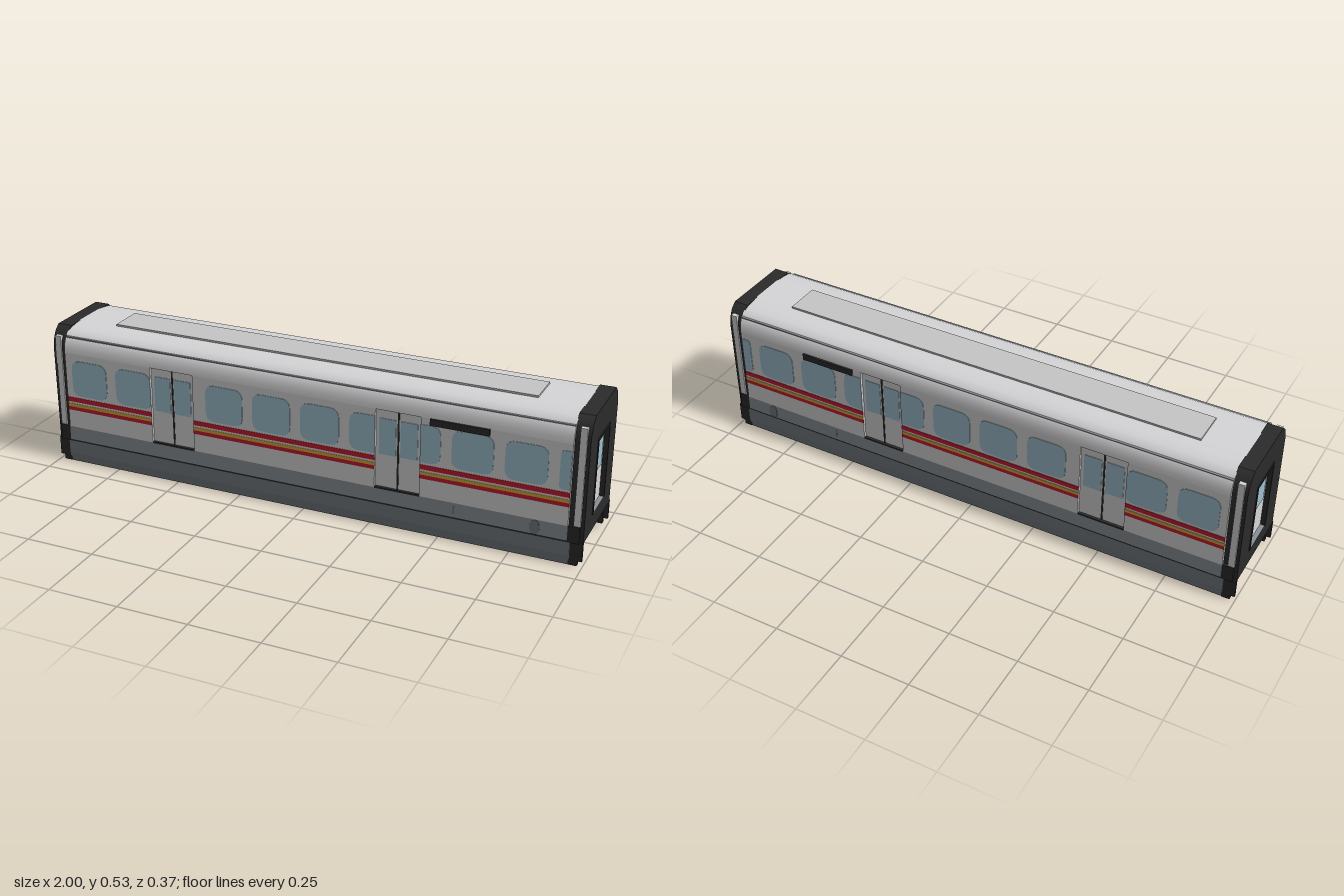
import * as THREE from 'three';
import { toCreasedNormals } from 'three/addons/utils/BufferGeometryUtils.js';

const mat = (name, color) => {
  const m = new THREE.MeshStandardMaterial({ color });
  m.name = name;
  return m;
};

export function createModel() {
  const root = new THREE.Group();
  root.name = 'railCar';
  const white = mat('bodyWhite', 0xd6d6d8);
  const roofGrey = mat('roofPanelGrey', 0xc6c6c7);
  const grey = mat('lowerBodyGrey', 0x8a9195);
  const dark = mat('skirtGrey', 0x727a7f);
  const black = mat('black', 0x2b2b2b);
  const glass = mat('windowBlue', 0x9fbfce);
  const red = mat('stripeRed', 0xc41c30);
  const gold = mat('stripeGold', 0xd4a83c);
  const blue = mat('equipmentBlue', 0x2f6fb0);

  const add = (name, geo, material) => {
    const m = new THREE.Mesh(geo, material);
    m.name = name;
    root.add(m);
    return m;
  };
  // Box given by its extents on each axis
  const box = (name, material, x0, x1, y0, y1, z0, z1) => {
    const g = new THREE.BoxGeometry(Math.abs(x1 - x0), y1 - y0, Math.abs(z1 - z0));
    g.translate((x0 + x1) / 2, (y0 + y1) / 2, (z0 + z1) / 2);
    return add(name, g, material);
  };
  // Shape in (z, y) extruded along x
  const alongX = (name, material, shape, x0, x1, crease = 0.5) => {
    const g = new THREE.ExtrudeGeometry(shape, { depth: x1 - x0, bevelEnabled: false });
    g.rotateY(Math.PI / 2).translate(x0, 0, 0);
    return add(name, toCreasedNormals(g, crease), material);
  };
  const poly = (pts) => new THREE.Shape(pts.map(([a, b]) => new THREE.Vector2(a, b)));
  const symmetric = (half) => poly([...half, ...half.slice().reverse().map(([z, y]) => [-z, y])]);

  // Window pane with separate corner radii for its left and right ends
  const pane = (name, x0, x1, y0, y1, rl, rr, z) => {
    const s = new THREE.Shape();
    s.moveTo(x0 + rl, y0);
    s.lineTo(x1 - rr, y0);
    s.quadraticCurveTo(x1, y0, x1, y0 + rr);
    s.lineTo(x1, y1 - rr);
    s.quadraticCurveTo(x1, y1, x1 - rr, y1);
    s.lineTo(x0 + rl, y1);
    s.quadraticCurveTo(x0, y1, x0, y1 - rl);
    s.lineTo(x0, y0 + rl);
    s.quadraticCurveTo(x0, y0, x0 + rl, y0);
    const g = new THREE.ExtrudeGeometry(s, { depth: 0.004, bevelEnabled: false, curveSegments: 6 });
    g.translate(0, 0, z - 0.002);
    add(name, g, glass);
  };

  const L = 0.945, W = 0.177, recess = 0.168;

  // Body shell
  box('bodyCore', white, -L, L, 0.09, 0.436, -recess, recess);
  box('lowerBody', grey, -L, L, 0.092, 0.145, -W, W);
  box('floor', black, -0.96, 0.96, 0.085, 0.092, -W + 0.002, W - 0.002);
  alongX('roof', white, symmetric([
    [W, 0.435], [0.176, 0.452], [0.172, 0.472], [0.164, 0.49],
    [0.15, 0.505], [0.132, 0.515], [0.1, 0.521], [0.05, 0.524],
  ]), -L, L);
  box('roofPanel', roofGrey, -0.79, 0.79, 0.518, 0.53, -0.064, 0.064);

  const doors = [[-0.592, -0.422], [0.27, 0.432]];
  const panels = [[-L, -0.592], [-0.422, 0.27], [0.432, L]];

  for (const s of [1, -1]) {
    // Wall panels between the doors, with stripes
    for (const [a, b] of panels) {
      box('wallPanel', white, a, b, 0.145, 0.435, s * 0.16, s * W);
      const z0 = s * (W - 0.002), z1 = s * (W + 0.0015);
      box('upperRedStripe', red, a, b, 0.247, 0.264, z0, z1);
      box('goldStripe', gold, a, b, 0.227, 0.239, z0, z1);
      box('lowerRedStripe', red, a, b, 0.213, 0.227, z0, z1);
    }
    // Side windows on a regular pitch, cut off where they meet a door or the end
    for (let i = 0; i < 11; i++) {
      const c = -0.846 + i * 0.1825;
      let x0 = c - 0.072, x1 = c + 0.072, rl = 0.035, rr = 0.035;
      if (i === 2) continue;
      if (i === 6) { x1 = 0.27; rr = 0.001; }
      if (i === 7) { x0 = 0.432; rl = 0.001; }
      if (i === 10) { x1 = L - 0.002; rr = 0.001; rl = 0.015; }
      pane('sideWindow', x0, x1, 0.273, 0.41, rl, rr, s * W);
    }
    // Recessed double doors
    for (const [a, b] of doors) {
      const m = (a + b) / 2;
      pane('doorWindow', a + 0.012, m - 0.008, 0.27, 0.402, 0.004, 0.004, s * recess);
      pane('doorWindow', m + 0.008, b - 0.012, 0.27, 0.402, 0.004, 0.004, s * recess);
      box('doorSeam', black, m - 0.003, m + 0.003, 0.145, 0.43, s * 0.165, s * 0.17);
      box('doorSill', black, a, b, 0.143, 0.149, s * 0.16, s * (W + 0.001));
    }
    // Display panel, gutter and small hatches
    box('displayPanel', black, 0.465, 0.67, 0.413, 0.436, s * 0.17, s * 0.184);
    box('gutter', grey, -L, L, 0.492, 0.496, s * 0.155, s * 0.167);
    const hatch = new THREE.CylinderGeometry(0.018, 0.018, 0.004, 16);
    hatch.rotateX(Math.PI / 2).scale(1, 1.5, 1).translate(0.835, 0.117, s * W);
    add('fillerHatch', hatch, dark);
    box('hatchLatch', dark, 0.552, 0.558, 0.104, 0.132, s * (W - 0.001), s * (W + 0.001));

    // Hanging skirt with an inward step
    alongX('skirt', dark, poly([
      [0.173, 0.088], [0.173, 0.035], [0.166, 0], [0.156, 0], [0.156, 0.088],
    ].map(([z, y]) => [z * s, y])), -0.955, 0.955, 0.1);
    box('skirtStep', dark, -0.96, 0.96, 0, 0.02, s * 0.1, s * 0.16);
    box('skirtStepTop', black, -0.965, 0.965, 0.02, 0.035, s * 0.1, s * 0.16);
    box('skirtEquipment', blue, -0.9, 0.9, 0.035, 0.068, s * 0.15, s * 0.156);

    for (const e of [1, -1]) {
      // Corner posts at each end
      box('cornerStrip', white, e * 0.962, e * 0.985, 0.145, 0.493, s * 0.155, s * 0.171);
      box('cornerFoot', black, e * 0.944, e * 0.985, 0.085, 0.145, s * 0.15, s * 0.175);
      box('skirtEnd', black, e * 0.952, e * 0.982, 0.002, 0.09, s * 0.152, s * 0.17);
      box('skirtEndFin', black, e * 0.982, e * 0.998, 0.02, 0.09, s * 0.16, s * 0.17);
      box('underfloorBlock', black, e * 0.5, e * 0.6, 0.075, 0.086, s * 0.064, s * 0.094);
    }
  }

  // End walls with a gangway door
  const wall = symmetric([
    [0.165, 0.085], [0.167, 0.45], [0.162, 0.476], [0.148, 0.504], [0.126, 0.523],
  ]);
  wall.holes.push(new THREE.Path([
    [-0.066, 0.148], [-0.066, 0.411], [0.066, 0.411], [0.066, 0.148],
  ].map(([z, y]) => new THREE.Vector2(z, y))));
  for (const e of [1, -1]) {
    alongX('endWall', black, wall, e > 0 ? 0.942 : -0.997, e > 0 ? 0.997 : -0.942);
    box('endDoor', white, e * 0.94, e * 0.983, 0.146, 0.413, -0.068, 0.068);
    box('endDoorWindow', glass, e * 0.98, e * 0.985, 0.276, 0.391, -0.052, 0.052);
    box('endDoorSill', grey, e * 0.98, e * 0.999, 0.146, 0.15, -0.07, 0.07);
    box('endDoorLintel', black, e * 0.99, e * 1.0, 0.411, 0.42, -0.074, 0.074);
    for (const s of [1, -1])
      box('endDoorJamb', black, e * 0.99, e * 1.0, 0.148, 0.42, s * 0.066, s * 0.074);
  }
  return root;
}
